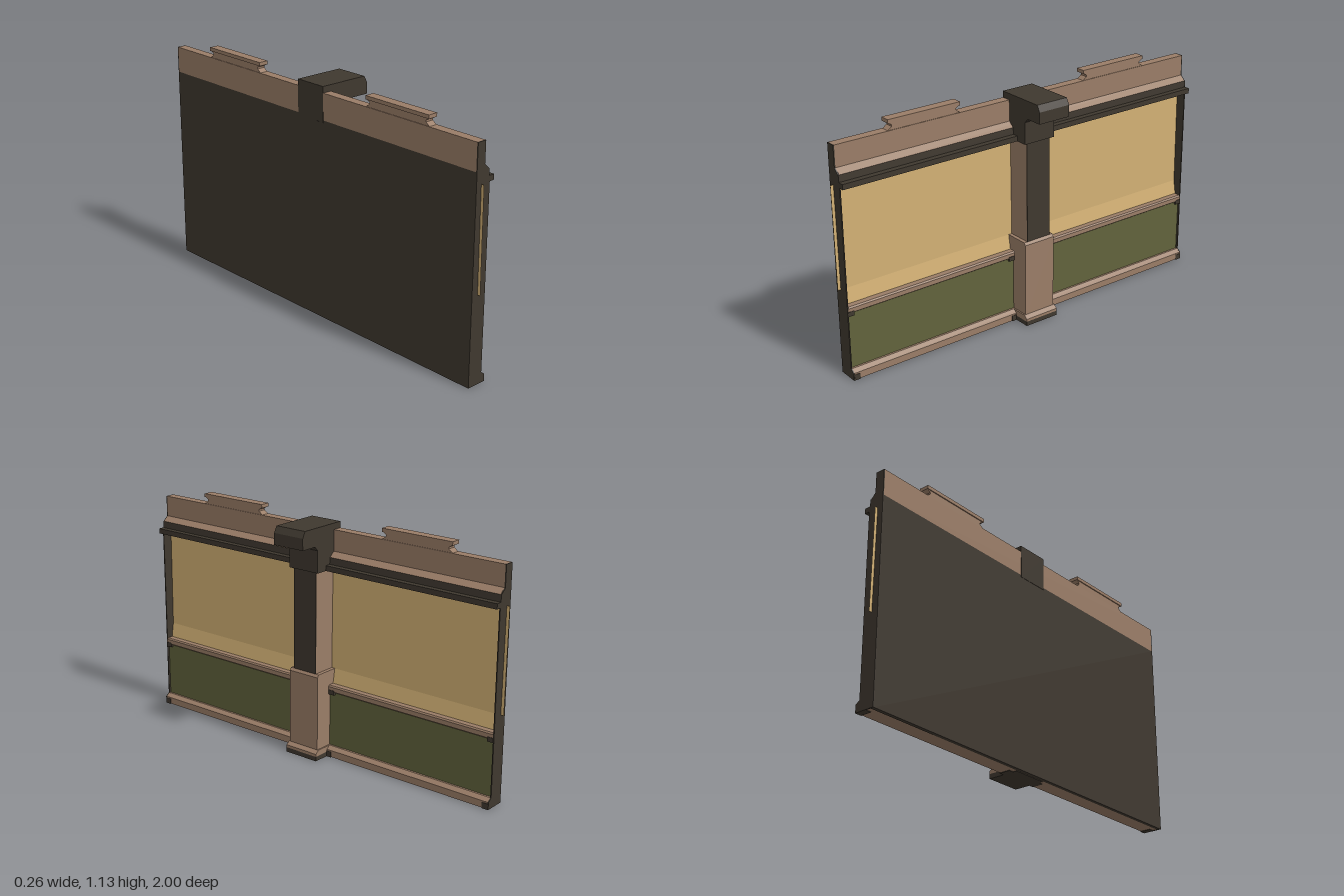
import * as THREE from 'three';

const mat = (name, color, side = THREE.FrontSide) => {
  const m = new THREE.MeshStandardMaterial({ color, side });
  m.name = name;
  return m;
};

export function createModel() {
  const root = new THREE.Group();
  root.name = 'wallPanel';
  const dark = mat('darkMetal', 0x3f382f);
  const tan = mat('tanMetal', 0x9a7d67);
  const green = mat('oliveGreen', 0x62633c);
  const gold = mat('sandYellow', 0xd2b074, THREE.DoubleSide);

  const add = (name, geometry, material) => {
    const mesh = new THREE.Mesh(geometry, material);
    mesh.name = name;
    root.add(mesh);
    return mesh;
  };
  // Box given by its limits on each axis
  const box = (name, material, [x0, x1], [y0, y1], [z0, z1]) =>
    add(name, new THREE.BoxGeometry(x1 - x0, y1 - y0, z1 - z0)
      .translate((x0 + x1) / 2, (y0 + y1) / 2, (z0 + z1) / 2), material);
  // Side profile (x, y) extruded between two z values
  const slab = (name, material, points, z0, z1) => {
    const shape = new THREE.Shape(points.map(([x, y]) => new THREE.Vector2(x, y)));
    const g = new THREE.ExtrudeGeometry(shape, { depth: z1 - z0, bevelEnabled: false });
    return add(name, g.translate(0, 0, z0), material);
  };

  const B = -0.133, E = 0.985;

  // Flat back
  box('backSheet', dark, [B, -0.115], [0, 0.96], [-0.98, 0.98]);

  // Thin end plates
  const endProfile = [[B, 0], [-0.035, 0], [-0.035, 0.035], [-0.055, 0.05], [-0.055, 0.905],
    [-0.06, 0.96], [-0.087, 0.985], [-0.087, 1.085], [B, 1.085]];
  slab('endPlate', dark, endProfile, 0.98, E);
  slab('endPlate', dark, endProfile, -E, -0.98);

  // Upper beam with projecting lip
  slab('upperBeam', dark, [[-0.115, 0.905], [-0.03, 0.905], [-0.03, 0.93], [-0.058, 0.93],
    [-0.06, 0.962], [-0.115, 0.962]], -E, E);

  // Tan cap with sloped foot
  slab('topCap', tan, [[B, 0.96], [-0.06, 0.962], [-0.087, 0.985], [-0.087, 1.085], [B, 1.085]], -0.98, 0.98);

  // Sand panel, curving forward at the bottom; its upper part reaches past the ends
  const rows = [[0.35, -0.088, 0.98], [0.42, -0.1, 0.98], [0.42, -0.1, 1], [0.905, -0.105, 1]];
  const sand = new THREE.PlaneGeometry(2, 1, 1, 3);
  const p = sand.attributes.position;
  for (let i = 0; i < p.count; i++) {
    const [y, x, z] = rows[3 - Math.floor(i / 2)];
    p.setXYZ(i, x, y, i % 2 ? -z : z);
  }
  sand.computeVertexNormals();
  add('sandPanel', sand, gold);

  // Lower green field between two tan rails
  box('greenField', green, [-0.115, -0.065], [0.03, 0.33], [-0.98, 0.98]);
  slab('middleRail', tan, [[-0.115, 0.315], [-0.065, 0.315], [-0.055, 0.322], [-0.055, 0.343],
    [-0.06, 0.35], [-0.115, 0.35]], -0.98, 0.98);
  slab('bottomRail', tan, [[-0.115, 0.002], [-0.036, 0.002], [-0.036, 0.035], [-0.055, 0.05],
    [-0.115, 0.05]], -0.98, 0.98);

  for (const s of [1, -1]) {
    // Dark corner clips on the rails
    for (const z of [0.967, 0.1]) {
      const span = [s * z - 0.015, s * z + 0.015];
      box('cornerClip', dark, [-0.09, -0.053], [0.306, 0.328], span);
      box('cornerClip', dark, [-0.09, -0.034], [0, 0.028], span);
    }
    // Raised tabs on the top edge
    const c = s * 0.535;
    const tab = new THREE.Shape([[-0.185, 1.12], [-0.165, 1.108], [-0.165, 1.1], [-0.185, 1.085],
      [0.185, 1.085], [0.165, 1.1], [0.165, 1.108], [0.185, 1.12]]
      .map(([z, y]) => new THREE.Vector2(z, y)));
    const g = new THREE.ExtrudeGeometry(tab, { depth: 0.04, bevelEnabled: false });
    add('tabNeck', g.rotateY(-Math.PI / 2).translate(-0.09, 0, c), tan);
    box('tabTop', tan, [-0.135, -0.087], [1.118, 1.135], [c - 0.185, c + 0.185]);
  }

  // Centre post: upper shaft with dark front, wider lower sleeve, foot
  box('postShaft', tan, [-0.11, 0.014], [0.4, 0.91], [-0.065, 0.065]);
  box('postFront', dark, [0.014, 0.018], [0.4, 0.91], [-0.065, 0.065]);
  slab('postSleeve', tan, [[-0.11, 0.03], [0.027, 0.03], [0.027, 0.408], [0.018, 0.42],
    [-0.11, 0.42]], -0.083, 0.083);
  slab('postFoot', tan, [[-0.11, 0.022], [0.045, 0.022], [0.045, 0.035], [0.027, 0.05],
    [-0.11, 0.05]], -0.09, 0.09);
  box('footSole', dark, [-0.11, 0.045], [0, 0.022], [-0.09, 0.09]);

  // Hooked bracket over the post
  slab('bracket', dark, [[-0.134, 0.95], [-0.055, 0.905], [0.027, 0.905], [0.027, 1.01],
    [0.045, 1.03], [0.13, 1.03], [0.13, 1.085], [0.114, 1.115], [-0.134, 1.115]], -0.083, 0.083);

  return root;
}
